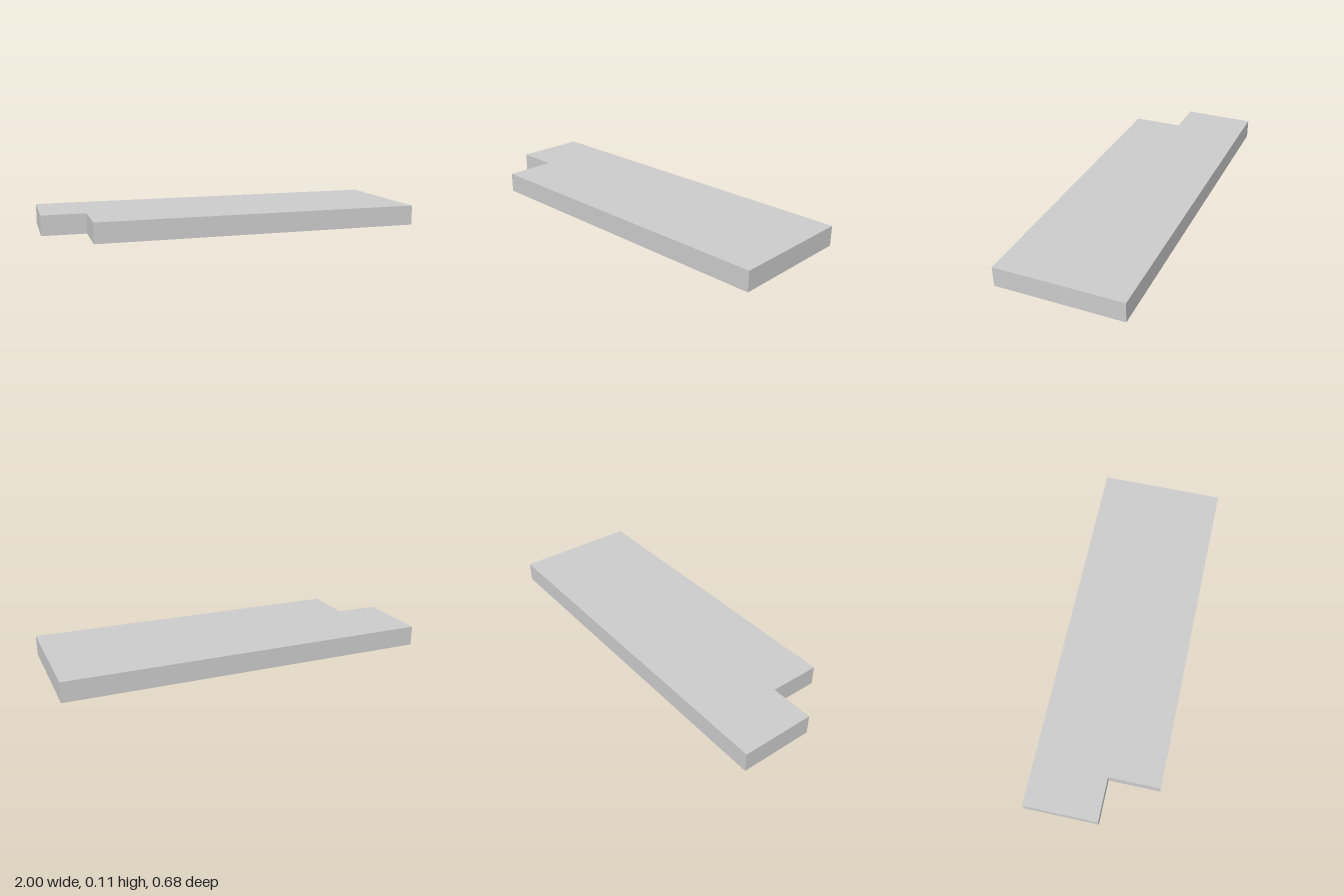
import * as THREE from 'three';
import { mergeGeometries } from 'three/addons/utils/BufferGeometryUtils.js';

const HEIGHT = 0.108, DEPTH = 0.07;

// Points are [x, z] pairs
const shapeOf = (pts, sign = 1) => new THREE.Shape(pts.map(([x, z]) => new THREE.Vector2(x, sign * z)));

// Horizontal face looking down, with optional holes
function faceDown(pts, y, holes = []) {
  const shape = shapeOf(pts);
  shape.holes = holes.map((h) => shapeOf(h));
  return new THREE.ShapeGeometry(shape).rotateX(Math.PI / 2).translate(0, y, 0).toNonIndexed();
}

// Horizontal face looking up
function faceUp(pts, y) {
  return new THREE.ShapeGeometry(shapeOf(pts, -1)).rotateX(-Math.PI / 2).translate(0, y, 0).toNonIndexed();
}

// Vertical walls along a closed outline
function walls(pts, top) {
  const pos = [];
  pts.forEach(([ax, az], i) => {
    const [bx, bz] = pts[(i + 1) % pts.length];
    pos.push(ax, 0, az, ax, top, az, bx, top, bz, ax, 0, az, bx, top, bz, bx, 0, bz);
  });
  const g = new THREE.BufferGeometry();
  g.setAttribute('position', new THREE.Float32BufferAttribute(pos, 3));
  g.setAttribute('uv', new THREE.Float32BufferAttribute(new Array(pos.length / 3 * 2).fill(0), 2));
  g.computeVertexNormals();
  return g;
}

function addMesh(group, name, geometries) {
  const mesh = new THREE.Mesh(mergeGeometries(geometries),
    new THREE.MeshStandardMaterial({ color: 0xcccccc, flatShading: true }));
  mesh.name = name;
  group.add(mesh);
}

export function createModel() {
  const group = new THREE.Group();
  group.name = 'notchedPanel';

  // Panel outline with one notched front corner
  const outline = [[-1, -0.34], [1, -0.34], [1, 0.34], [-0.765, 0.34], [-0.765, 0.06], [-1, 0.06]];

  // Two square blind sockets near the back edge of the underside
  const r = 0.043, z = -0.249;
  const sockets = [-0.814, 0.814].map((x) => [[x - r, z - r], [x - r, z + r], [x + r, z + r], [x + r, z - r]]);

  addMesh(group, 'panel', [faceUp(outline, HEIGHT), faceDown(outline, 0, sockets), walls(outline, HEIGHT)]);
  sockets.forEach((s, i) => addMesh(group, i ? 'leftSocket' : 'rightSocket', [walls(s, DEPTH), faceDown(s, DEPTH)]));

  return group;
}
